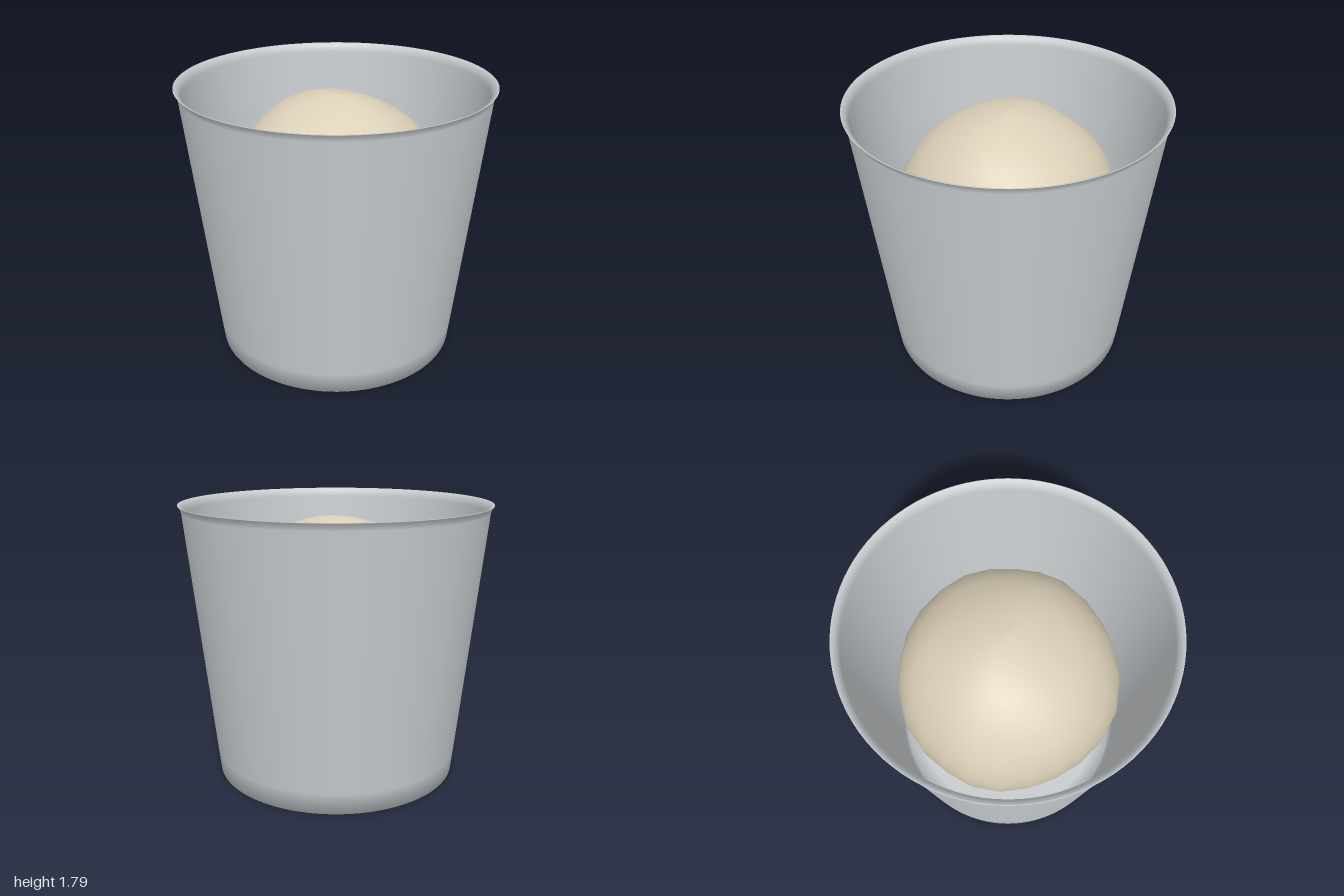
import * as THREE from 'three';

export function createModel() {
  const model = new THREE.Group();
  const metal = new THREE.MeshStandardMaterial({ color: 0xc8cccf });
  metal.name = 'brushed grey metal';
  const cream = new THREE.MeshStandardMaterial({ color: 0xdbd0b8 });
  cream.name = 'cream dough';

  // Tapered bucket: underside, outer wall, flared lip, inner wall and floor
  const profile = [
    [0, 0], [0.7, 0], [0.8, 0], [0.815, 0.14], [0.977, 1.74], [0.985, 1.765],
    [0.998, 1.783], [1, 1.787], [0.994, 1.787], [0.972, 1.772], [0.955, 1.73],
    [0.795, 0.15], [0.775, 0.03], [0.68, 0.025], [0, 0.025],
  ].map(([r, y]) => new THREE.Vector2(r, y));
  const bucket = new THREE.Mesh(new THREE.LatheGeometry(profile, 96), metal);
  bucket.name = 'bucket';
  model.add(bucket);

  // Lumpy dough: round dome above, stretched down to the bucket floor
  const geometry = new THREE.SphereGeometry(1, 24, 18);
  const pos = geometry.attributes.position;
  const v = new THREE.Vector3();
  for (let i = 0; i < pos.count; i++) {
    v.fromBufferAttribute(pos, i);
    const lump = 1 + 0.012 * Math.sin(5 * v.x + 2 * v.z + 1) * Math.cos(4 * v.y)
      + 0.01 * Math.sin(7 * v.z - 3 * v.x + 2 * v.y);
    const height = v.y > 0 ? 0.725 : 0.93;
    pos.setXYZ(i, v.x * 0.73 * lump, 0.975 + v.y * height * lump, v.z * 0.73 * lump);
  }
  geometry.computeVertexNormals();
  // Share normals across the sphere's seam
  const normal = geometry.attributes.normal;
  for (let row = 0; row <= 18; row++) {
    const a = row * 25, b = a + 24;
    v.fromBufferAttribute(normal, a).add(new THREE.Vector3().fromBufferAttribute(normal, b)).normalize();
    normal.setXYZ(a, v.x, v.y, v.z);
    normal.setXYZ(b, v.x, v.y, v.z);
  }
  const dough = new THREE.Mesh(geometry, cream);
  dough.name = 'dough';
  model.add(dough);

  return model;
}
